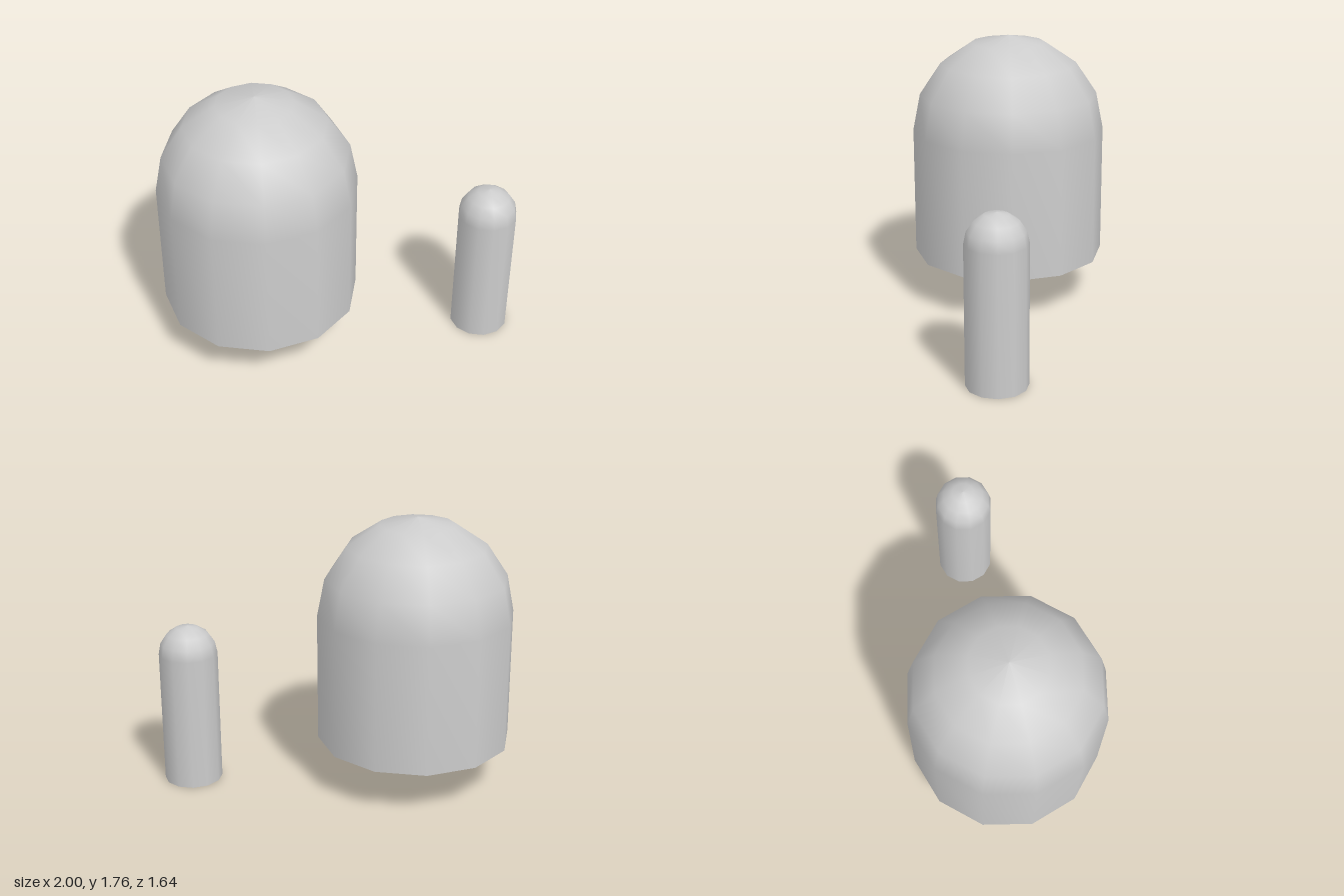
import * as THREE from 'three';

const material = new THREE.MeshStandardMaterial({ color: 0xcccccc, side: THREE.DoubleSide });

// Upright tube with a hemispherical top and an open bottom
function domedColumn(name, radius, bottom, springLine, x, z) {
  const profile = [new THREE.Vector2(radius, bottom)];
  const rings = 4;
  for (let i = 0; i <= rings; i++) {
    const a = (i / rings) * Math.PI / 2;
    const r = i === rings ? 0 : radius * Math.cos(a);
    profile.push(new THREE.Vector2(r, springLine + radius * Math.sin(a)));
  }
  const mesh = new THREE.Mesh(new THREE.LatheGeometry(profile, 12), material);
  mesh.name = name;
  mesh.position.set(x, 0, z);
  return mesh;
}

export function createModel() {
  const model = new THREE.Group();
  model.name = 'domedColumns';
  model.add(
    domedColumn('largeDome', 0.625, 0.305, 1.14, -0.375, -0.197),
    domedColumn('smallDome', 0.187, 0, 0.869, 0.813, 0.634),
  );
  return model;
}
